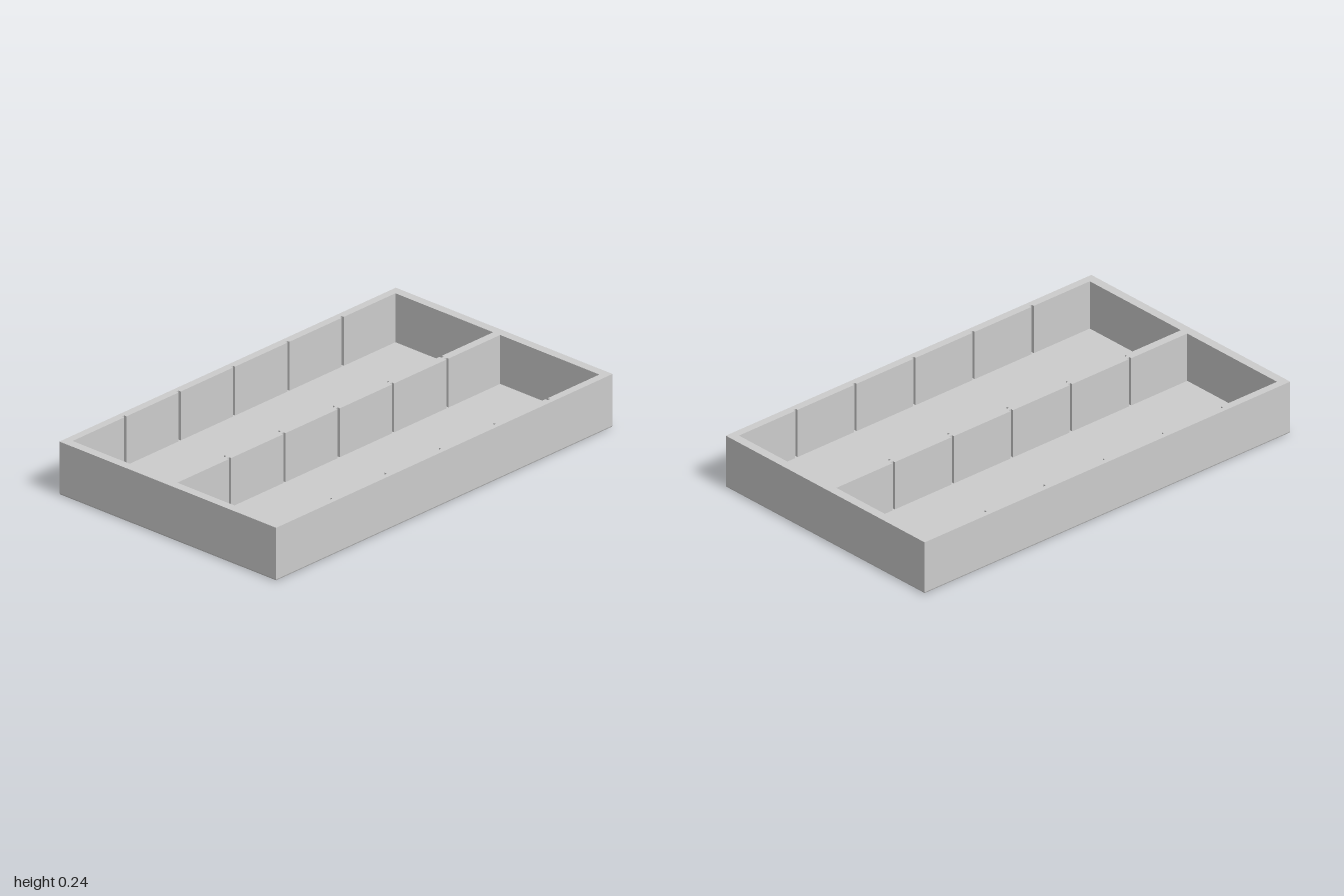
import * as THREE from 'three';

const W = 1.98, D = 1.19, H = 0.237; // outer size
const SIDE = 0.04, WALL = 0.035;     // wall thicknesses
const FLOOR = 0.02, BEVEL = 0.008;
const DIVIDER_Z = -0.004, DIVIDER = 0.038;
const SLOTS = [-0.64, -0.32, 0, 0.32, 0.64];
const SLOT_W = 0.013, SLOT_D = 0.012;

// Closed rectangle in plan; shape y is -z
function rectangle(w, d) {
  return new THREE.Shape([
    new THREE.Vector2(-w / 2, -d / 2), new THREE.Vector2(w / 2, -d / 2),
    new THREE.Vector2(w / 2, d / 2), new THREE.Vector2(-w / 2, d / 2),
  ]);
}

// Compartment opening with slots notched into both long walls
function compartment(zBack, zFront) {
  const x = W / 2 - SIDE, h = SLOT_W / 2;
  const path = new THREE.Path();
  path.moveTo(-x, -zFront);
  for (const s of SLOTS) {
    path.lineTo(s - h, -zFront);
    path.lineTo(s - h, -zFront - SLOT_D);
    path.lineTo(s + h, -zFront - SLOT_D);
    path.lineTo(s + h, -zFront);
  }
  path.lineTo(x, -zFront);
  path.lineTo(x, -zBack);
  for (const s of [...SLOTS].reverse()) {
    path.lineTo(s + h, -zBack);
    path.lineTo(s + h, -zBack + SLOT_D);
    path.lineTo(s - h, -zBack + SLOT_D);
    path.lineTo(s - h, -zBack);
  }
  path.lineTo(-x, -zBack);
  path.closePath();
  return path;
}

// Extrude a plan shape upwards from height y
function addSlab(group, name, shape, y, options) {
  const geometry = new THREE.ExtrudeGeometry(shape, options);
  geometry.rotateX(-Math.PI / 2);
  geometry.translate(0, y, 0);
  const mesh = new THREE.Mesh(geometry, new THREE.MeshStandardMaterial({ color: 0xcccccc }));
  mesh.name = name;
  group.add(mesh);
}

export function createModel() {
  const tray = new THREE.Group();
  tray.name = 'dividedTray';

  // Outer walls and central divider in one slotted frame
  const frame = rectangle(W, D);
  frame.holes.push(
    compartment(-D / 2 + WALL, DIVIDER_Z - DIVIDER / 2),
    compartment(DIVIDER_Z + DIVIDER / 2, D / 2 - WALL),
  );
  const wallBase = FLOOR - BEVEL;
  addSlab(tray, 'slottedWalls', frame, wallBase, { depth: H - wallBase, bevelEnabled: false });

  // Thin floor with a softened lower edge
  addSlab(tray, 'floor', rectangle(W - 2 * BEVEL, D - 2 * BEVEL), BEVEL, {
    depth: FLOOR - 2 * BEVEL, bevelThickness: BEVEL, bevelSize: BEVEL, bevelSegments: 2,
  });

  // The tray sits slightly askew
  tray.rotation.y = -0.0145;
  const model = new THREE.Group();
  model.name = 'tray';
  model.add(tray);
  return model;
}
